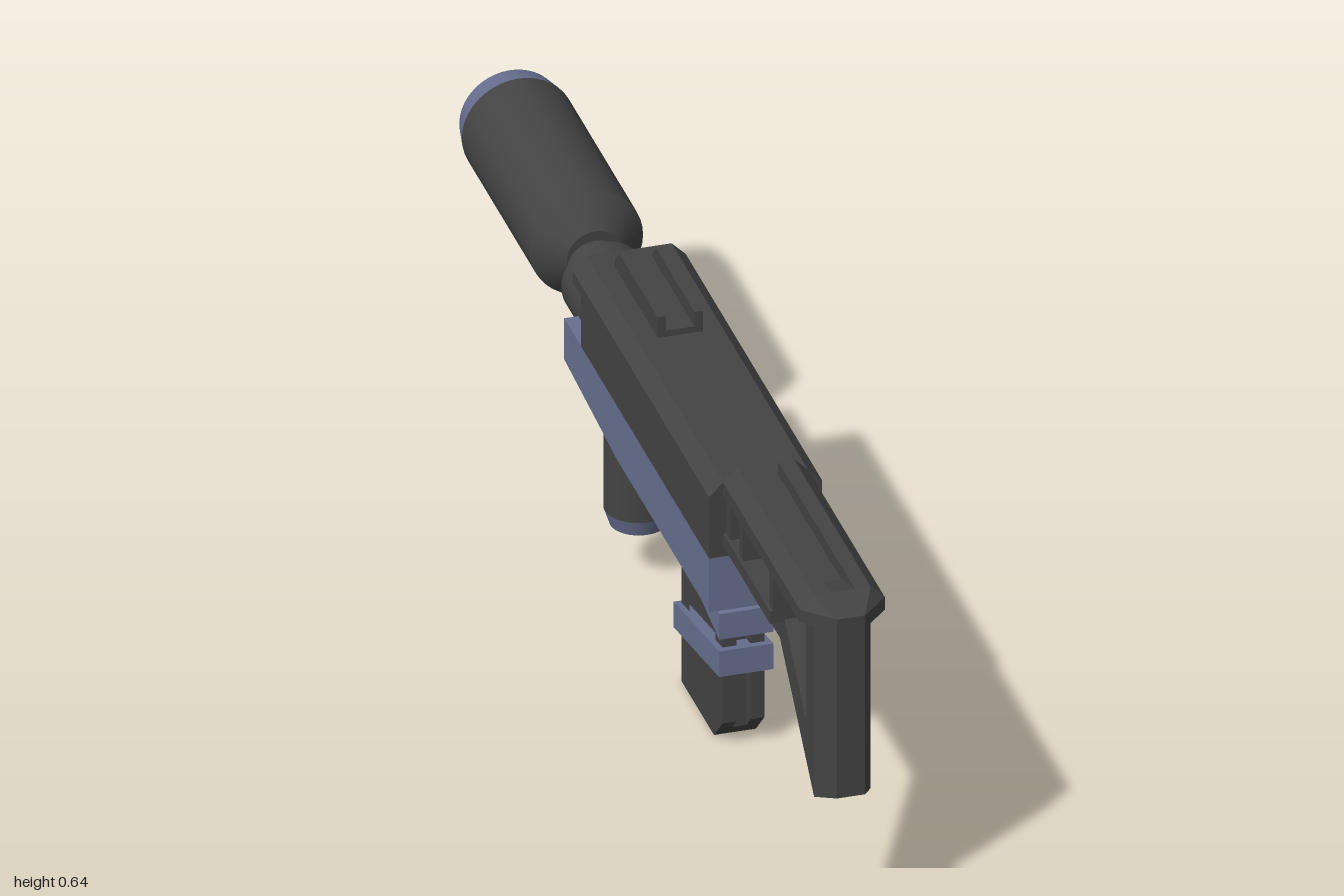
import * as THREE from 'three';
import { ConvexGeometry } from 'three/addons/geometries/ConvexGeometry.js';

export function createModel() {
  const model = new THREE.Group();
  const dark = new THREE.MeshStandardMaterial({ color: 0x444444 });
  dark.name = 'charcoal';
  const blue = new THREE.MeshStandardMaterial({ color: 0x687090 });
  blue.name = 'slate blue';

  const add = (name, geometry, material) => {
    const mesh = new THREE.Mesh(geometry, material);
    mesh.name = name;
    model.add(mesh);
    return mesh;
  };
  const toShape = (pts) => new THREE.Shape(pts.map(([a, b]) => new THREE.Vector2(a, b)));
  const extrude = (shape, depth) => new THREE.ExtrudeGeometry(shape, { depth, bevelEnabled: false });

  // Side profile in (z, y), spanning x0..x1
  const side = (name, pts, x0, x1, material, hole) => {
    const shape = toShape(pts);
    if (hole) shape.holes.push(toShape(hole));
    return add(name, extrude(shape, x1 - x0).rotateY(-Math.PI / 2).translate(x1, 0, 0), material);
  };
  // Half section in (x, y) mirrored about x = 0, spanning z0..z1
  const section = (name, half, z0, z1, material) => {
    const mirrored = half.map(([x, y]) => [-x, y]).reverse();
    return add(name, extrude(toShape([...half, ...mirrored]), z1 - z0).translate(0, 0, z0), material);
  };
  const box = (name, w, y0, y1, z0, z1, material, x = 0) =>
    add(name, new THREE.BoxGeometry(w, y1 - y0, z1 - z0).translate(x, (y0 + y1) / 2, (z0 + z1) / 2), material);
  // Round part lying along z; r0 at z0, r1 at z1 (z1 < z0)
  const tube = (name, r0, r1, z0, z1, y, material) =>
    add(name, new THREE.CylinderGeometry(r1, r0, z0 - z1, 40).rotateX(-Math.PI / 2).translate(0, y, (z0 + z1) / 2), material);
  // Round part standing upright
  const post = (name, rBottom, rTop, y0, y1, z, material) =>
    add(name, new THREE.CylinderGeometry(rTop, rBottom, y1 - y0, 32).translate(0, (y0 + y1) / 2, z), material);

  // Upper body with an overhanging lip
  section('upperBody', [[0.1, 0.455], [0.1, 0.575], [0.075, 0.6]], -0.25, 0.5, dark);
  section('upperLip', [[0.1, 0.553], [0.1, 0.575], [0.075, 0.6]], -0.3, -0.25, dark);

  // Lower body: rear block, front filler and two side prongs
  box('lowerBody', 0.14, 0.35, 0.455, -0.04, 0.5, blue);
  box('lowerBodyFront', 0.14, 0.38, 0.455, -0.25, -0.04, blue);
  for (const x of [-0.1, 0.07]) {
    side('sidePanel', [[0.5, 0.35], [-0.04, 0.35], [-0.35, 0.375], [-0.35, 0.455], [0.5, 0.455]], x, x + 0.03, blue);
  }
  box('underRail', 0.14, 0.35, 0.38, -0.4, -0.04, dark);

  // Sight rail: base and two strips with sloped front ends
  box('sightBase', 0.08, 0.6, 0.612, -0.25, 0, dark);
  for (const x of [-0.04, 0.025]) {
    side('sightStrip', [[0, 0.6], [-0.25, 0.6], [-0.25, 0.615], [-0.225, 0.64], [0, 0.64]], x, x + 0.015, dark);
  }

  // Barrel and muzzle cylinder
  tube('barrel', 0.075, 0.075, -0.24, -0.45, 0.457, dark);
  tube('barrelNeck', 0.05, 0.05, -0.45, -0.51, 0.457, dark);
  tube('muzzleCone', 0.05, 0.1, -0.5, -0.55, 0.475, dark);
  tube('muzzleBody', 0.1, 0.1, -0.55, -0.95, 0.475, dark);
  tube('muzzleCap', 0.1, 0.09, -0.95, -0.998, 0.475, blue);
  tube('muzzleBore', 0.05, 0.05, -0.995, -1, 0.475, dark);

  // Front handle hanging below the rail
  post('handleNeck', 0.017, 0.017, 0.32, 0.355, -0.245, dark);
  post('handleTopCap', 0.06, 0.05, 0.3, 0.325, -0.245, blue);
  post('handleBody', 0.06, 0.06, 0.13, 0.3, -0.245, dark);
  post('handleBottomCap', 0.05, 0.06, 0.1, 0.13, -0.245, blue);

  // Magazine: grooved core, solid walls, side skins with a sunken panel
  const magazine = [[0.37, 0.355], [0.37, 0.05], [0.32, 0], [0.13, 0], [0.13, 0.355]];
  const pocket = [[0.33, 0.345], [0.33, 0.08], [0.3, 0.05], [0.175, 0.05], [0.175, 0.345]];
  side('magazineCore', [[0.345, 0.355], [0.345, 0.025], ...magazine.slice(2)], -0.0125, 0.0125, dark);
  for (const s of [-1, 1]) {
    const span = (a, b) => (s > 0 ? [a, b] : [-b, -a]);
    side('magazineWall', magazine, ...span(0.0125, 0.027), dark);
    side('magazineSkin', magazine, ...span(0.027, 0.037), dark, pocket);
  }
  // Slanted straps round the magazine
  for (const [front, back] of [[0.225, 0.277], [0.152, 0.102]]) {
    side('magazineStrap', [[0.387, front], [0.12, back], [0.12, back + 0.05], [0.387, front + 0.05]], -0.048, 0.048, blue);
  }

  // Stock: grooved top beam, shelf, posts and slanted brace
  section('stockBeam', [[0.075, 0.575], [0.075, 0.6], [0.05, 0.625], [0.022, 0.625], [0.022, 0.6]], 0.5, 0.95, dark);
  side('grooveEnd', [[0.87, 0.6], [0.95, 0.6], [0.95, 0.625]], -0.022, 0.022, dark);
  box('stockShelf', 0.15, 0.475, 0.5, 0.5, 0.775, dark);
  for (const [z0, z1] of [[0.5, 0.525], [0.58, 0.6], [0.755, 0.775]]) {
    box('stockPost', 0.14, 0.49, 0.58, z0, z1, dark);
  }
  side('stockBrace', [[0.95, 0.23], [0.95, 0.58], [0.903, 0.58], [0.903, 0.355], [0.778, 0.48],
    [0.5, 0.48], [0.5, 0.43], [0.75, 0.43]], -0.05, 0.05, dark);

  // Bevelled butt plate and its wider top
  const hull = (name, half) => add(name, new ConvexGeometry(
    half.flatMap(([x, y, z]) => [new THREE.Vector3(x, y, z), new THREE.Vector3(-x, y, z)])), dark);
  hull('buttPlate', [[0.05, 0.23, 0.95], [0.05, 0.6, 0.95], [0.025, 0.25, 1], [0.025, 0.6, 1]]);
  hull('buttTop', [[0.075, 0.575, 0.95], [0.075, 0.6, 0.95], [0.05, 0.625, 0.95],
    [0.025, 0.575, 1], [0.025, 0.6, 1]]);

  return model;
}
